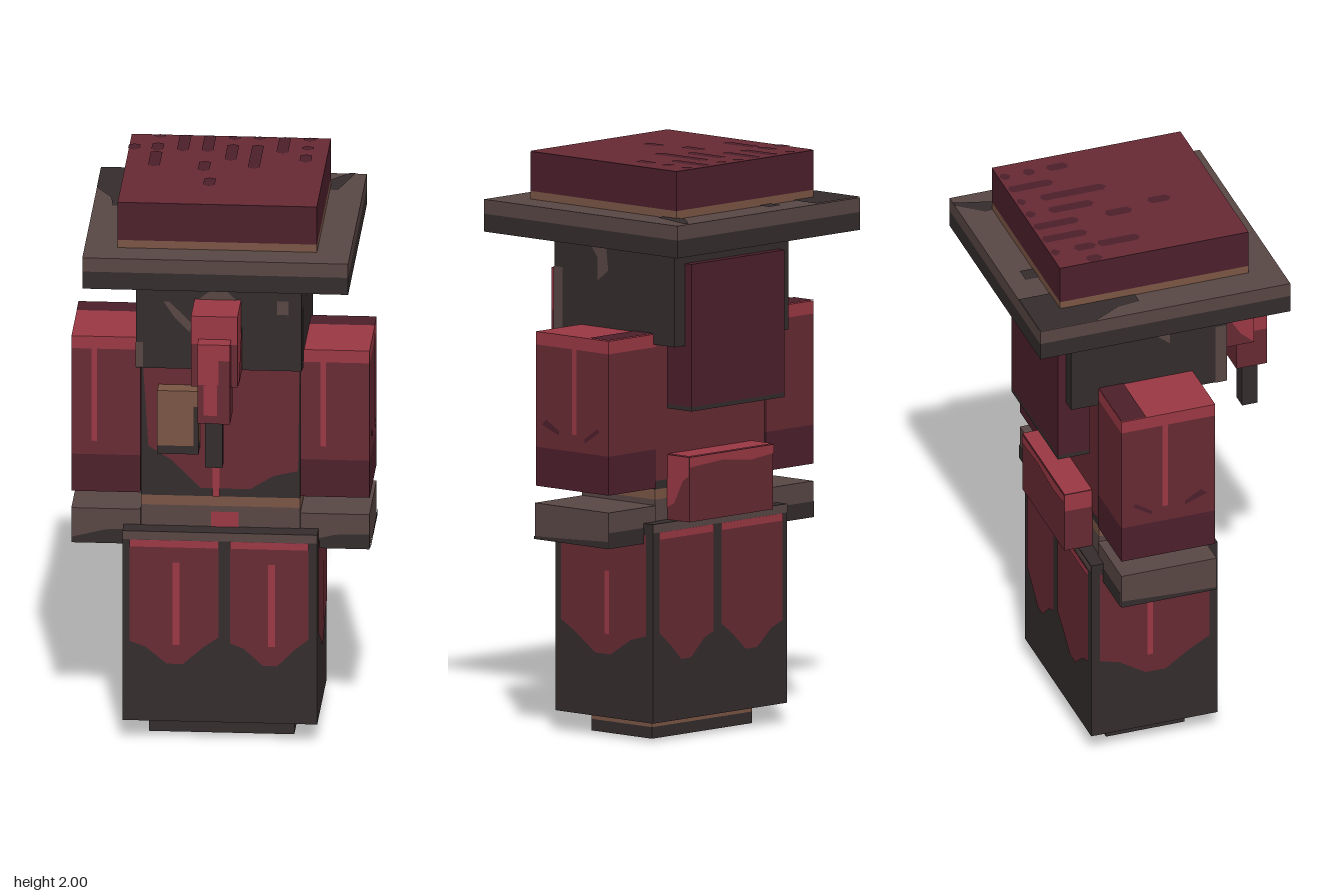
import * as THREE from 'three';

const paint = (name, color) => {
  const m = new THREE.MeshStandardMaterial({ color });
  m.name = name;
  return m;
};

export function createModel() {
  const model = new THREE.Group();
  model.name = 'robedFigure';

  const bright = paint('brightRed', 0x9a3844);
  const red = paint('clothRed', 0x672a33);
  const wine = paint('deepWine', 0x4c1f2b);
  const dark = paint('charcoal', 0x342c2d);
  const grey = paint('warmGrey', 0x584644);
  const tan = paint('leatherTan', 0x7a5544);

  // Box given by its limits on each axis
  function box(name, [x0, x1], [y0, y1], [z0, z1], mat) {
    const mesh = new THREE.Mesh(new THREE.BoxGeometry(x1 - x0, y1 - y0, z1 - z0), mat);
    mesh.position.set((x0 + x1) / 2, (y0 + y1) / 2, (z0 + z1) / 2);
    mesh.name = name;
    model.add(mesh);
  }

  // Stack of coloured boxes sharing one footprint: levels has one more entry than mats
  function stack(name, xs, zs, levels, mats) {
    mats.forEach((mat, i) => box(name, xs, [levels[i], levels[i + 1]], zs, mat));
  }

  // Painted patch on a face; points are (x,y) on front/back, (z,y) on sides, (x,z) on top
  const LIFT = 0.003;
  function patch(name, face, at, points, mat, lift = LIFT) {
    const flip = { front: [1, 1], back: [-1, 1], left: [-1, 1], right: [1, 1], top: [1, -1] }[face];
    const shape = new THREE.Shape(points.map(([u, v]) => new THREE.Vector2(u * flip[0], v * flip[1])));
    const mesh = new THREE.Mesh(new THREE.ShapeGeometry(shape), mat);
    if (face === 'front') mesh.position.z = at + lift;
    if (face === 'back') { mesh.rotation.y = Math.PI; mesh.position.z = at - lift; }
    if (face === 'left') { mesh.rotation.y = Math.PI / 2; mesh.position.x = at + lift; }
    if (face === 'right') { mesh.rotation.y = -Math.PI / 2; mesh.position.x = at - lift; }
    if (face === 'top') { mesh.rotation.x = -Math.PI / 2; mesh.position.y = at + lift; }
    mesh.name = name;
    model.add(mesh);
  }
  const rect = (a, b, c, d) => [[a, c], [b, c], [b, d], [a, d]];

  // Feet
  stack('feet', [-0.25, 0.25], [-0.17, 0.115], [0, 0.04, 0.075], [dark, tan]);

  // Skirt with pointed cloth panels
  box('skirt', [-0.335, 0.335], [0.07, 0.76], [-0.255, 0.205], dark);
  const panel = (a, b, top, low) => {
    const w = b - a;
    return [[a, top], [a, low + 0.08], [a + w * 0.18, low + 0.06], [a + w * 0.42, low],
      [a + w * 0.6, low], [a + w * 0.82, low + 0.06], [b, low + 0.1], [b, top]];
  };
  for (const [face, at] of [['front', 0.205], ['back', -0.255]]) {
    patch('skirtHem', face, at, rect(-0.335, 0.335, 0.73, 0.76), grey, 0.002);
    for (const [a, b] of [[-0.31, -0.005], [0.035, 0.305]]) {
      const mid = (a + b) / 2 + 0.008;
      patch('skirtPanel', face, at, panel(a, b, 0.73, 0.28), red);
      patch('panelTrim', face, at, rect(a, b, 0.705, 0.73), bright, 0.005);
      if (face === 'front') patch('panelStripe', face, at, rect(mid - 0.012, mid + 0.012, 0.35, 0.65), bright, 0.005);
    }
  }
  for (const [face, at] of [['left', 0.335], ['right', -0.335]]) {
    patch('sidePanel', face, at, panel(-0.225, 0.175, 0.72, 0.29), red);
    patch('sideStripe', face, at, rect(-0.052, -0.032, 0.36, 0.58), bright, 0.005);
  }

  // Torso with belt
  stack('torso', [-0.275, 0.272], [-0.205, 0.14], [0.74, 0.835, 0.87, 1.38], [grey, tan, dark]);
  patch('buckle', 'front', 0.14, rect(-0.035, 0.06, 0.76, 0.815), bright);
  patch('chestCloth', 'front', 0.14, [[-0.27, 1.375], [-0.25, 1.05], [-0.17, 1.0], [-0.07, 0.9],
    [0.1, 0.9], [0.18, 0.95], [0.265, 0.97], [0.27, 1.375]], red);
  patch('collarTrim', 'front', 0.14, [[-0.24, 1.375], [-0.2, 1.335], [0.2, 1.335], [0.24, 1.375],
    [0.2, 1.365], [-0.2, 1.365]], bright, 0.005);
  patch('chestStripe', 'front', 0.14, rect(-0.03, -0.005, 0.87, 1.09), bright, 0.005);
  patch('backCloth', 'back', -0.205, rect(-0.27, 0.27, 0.9, 1.38), red);

  // Sleeves and hands
  const sleeveZ = [-0.21, 0.132];
  for (const [xs, top, outer, face] of [[[-0.515, -0.278], 1.44, -0.515, 'right'], [[0.272, 0.51], 1.41, 0.51, 'left']]) {
    const cx = (xs[0] + xs[1]) / 2;
    stack('sleeve', xs, sleeveZ, [0.875, 1.01, top - 0.045, top], [wine, red, bright]);
    patch('sleeveStripe', 'front', sleeveZ[1], rect(cx - 0.05, cx - 0.03, 1.06, top), bright);
    patch('sleeveStripe', face, outer, rect(-0.062, -0.042, 1.07, top), bright);
    patch('sleeveFold', face, outer, [[0.1, 1.09], [0.08, 1.11], [0.02, 1.075], [0.02, 1.06]], wine);
    patch('sleeveFold', face, outer, [[-0.1, 1.06], [-0.1, 1.045], [-0.17, 1.09], [-0.16, 1.1]], wine);
    patch('shoulderShade', 'top', top, rect(xs[0], xs[1], -0.21, -0.12), wine);

    box('hand', xs, [0.69, 0.815], [-0.21, 0.137], grey);
    patch('handShade', 'front', 0.137, [[xs[0], 0.69], [xs[1], 0.69], [xs[1], 0.745], [cx, 0.74], [xs[0], 0.71]], dark);
    patch('handShade', 'back', -0.21, rect(xs[0], xs[1], 0.69, 0.745), dark);
    patch('handShade', face, outer, [[-0.21, 0.69], [0.137, 0.69], [0.137, 0.7], [0, 0.705], [-0.21, 0.715]], dark);
  }

  // Head with worn patches
  box('head', [-0.285, 0.285], [1.375, 1.73], [-0.31, 0.257], dark);
  patch('faceMark', 'front', 0.257, [[-0.04, 1.72], [0.04, 1.72], [0.03, 1.66], [0.07, 1.62], [-0.08, 1.62], [-0.02, 1.67]], grey);
  patch('faceMark', 'front', 0.257, [[-0.19, 1.62], [-0.17, 1.62], [-0.09, 1.54], [-0.1, 1.51], [-0.15, 1.56]], grey);
  patch('faceMark', 'front', 0.257, rect(0.2, 0.24, 1.58, 1.63), grey);
  patch('faceMark', 'front', 0.257, rect(-0.285, -0.26, 1.38, 1.47), grey);
  for (const [face, at] of [['left', 0.285], ['right', -0.285]]) {
    patch('cheekMark', face, at, rect(0.215, 0.257, 1.375, 1.6), grey);
    patch('templeMark', face, at, [[0.09, 1.7], [0.01, 1.69], [0.0, 1.61], [0.05, 1.57], [0.05, 1.65]], grey);
  }

  // Drooping nose with hanging drip
  box('noseBridge', [-0.083, 0.077], [1.375, 1.63], [0.25, 0.43], bright);
  patch('noseShade', 'front', 0.43, rect(-0.083, 0.077, 1.375, 1.53), red);
  patch('noseShade', 'left', 0.077, [[0.43, 1.375], [0.257, 1.375], [0.257, 1.54], [0.33, 1.5], [0.38, 1.42]], red);
  patch('noseShade', 'right', -0.083, [[0.43, 1.375], [0.257, 1.375], [0.257, 1.54], [0.33, 1.5], [0.38, 1.42]], red);
  stack('noseTip', [-0.057, 0.055], [0.375, 0.487], [1.26, 1.4, 1.547], [red, bright]);
  patch('noseTipShade', 'front', 0.487, rect(0.015, 0.055, 1.26, 1.49), red);
  patch('noseTipGlint', 'front', 0.487, rect(-0.035, 0.01, 1.29, 1.4), bright);
  box('noseDrip', [-0.032, 0.027], [1.09, 1.265], [0.405, 0.46], dark);

  // Chest pouch
  stack('pouch', [-0.215, -0.073], [0.13, 0.207], [1.045, 1.075, 1.275], [dark, tan]);
  patch('pouchEdge', 'front', 0.207, rect(-0.09, -0.073, 1.075, 1.22), dark);

  // Hair block behind the head
  stack('hair', [-0.233, 0.233], [-0.34, -0.225], [1.15, 1.165, 1.66], [dark, wine]);

  // Rolled bag on the back
  box('backBag', [-0.21, 0.21], [0.76, 0.985], [-0.308, -0.2], red);
  patch('bagLid', 'top', 0.985, rect(-0.21, 0.21, -0.308, -0.2), bright);
  patch('bagTrim', 'back', -0.308, [[-0.21, 0.985], [0.21, 0.985], [0.21, 0.95], [0.05, 0.96], [-0.1, 0.945], [-0.21, 0.955]], bright);
  patch('bagTrim', 'left', 0.21, [[-0.308, 0.985], [-0.2, 0.985], [-0.2, 0.8], [-0.24, 0.82], [-0.28, 0.9], [-0.308, 0.92]], bright);
  patch('bagTrim', 'right', -0.21, rect(-0.308, -0.2, 0.92, 0.985), bright);

  // Hat brim
  stack('hatBrim', [-0.457, 0.457], [-0.485, 0.427], [1.72, 1.782, 1.832], [dark, grey]);
  patch('brimStain', 'top', 1.832, [[-0.457, -0.485], [-0.24, -0.485], [-0.24, -0.36], [-0.345, -0.36],
    [-0.345, -0.1], [-0.39, -0.1], [-0.4, -0.18], [-0.457, -0.28]], dark);
  patch('brimStain', 'top', 1.832, [[0.4, -0.485], [0.42, -0.485], [0.37, -0.31], [0.34, -0.31], [0.33, -0.4]], dark);
  patch('brimStain', 'top', 1.832, rect(-0.13, -0.07, -0.42, -0.37), dark);

  // Hat crown with band and streaked top
  stack('hatCrown', [-0.343, 0.342], [-0.372, 0.315], [1.83, 1.86, 1.997], [tan, wine]);
  patch('crownTop', 'top', 1.997, rect(-0.343, 0.342, -0.372, 0.315), red, 0.002);
  const streaks = [[-0.325, -0.27, -0.21], [-0.245, -0.37, -0.335], [-0.245, -0.285, -0.205], [-0.245, -0.2, -0.045],
    [-0.157, -0.37, -0.205], [-0.072, -0.37, -0.205], [-0.072, -0.11, -0.01], [0.013, -0.37, -0.33], [0.013, -0.285, -0.12],
    [0.098, -0.37, -0.335], [0.098, -0.285, -0.045], [0.185, -0.37, -0.205], [0.27, -0.37, -0.33], [0.27, -0.285, -0.24],
    [0.27, -0.2, -0.12], [-0.043, 0.055, 0.14]];
  for (const [x, a, b] of streaks) {
    patch('crownStreak', 'top', 1.997, [[x - 0.02, a + 0.01], [x, a], [x + 0.02, a + 0.01],
      [x + 0.02, b - 0.015], [x, b], [x - 0.02, b - 0.015]], wine, 0.004);
  }

  // Flipped outlines come out clockwise only before shape triangulation, which reorders them
  return model;
}
